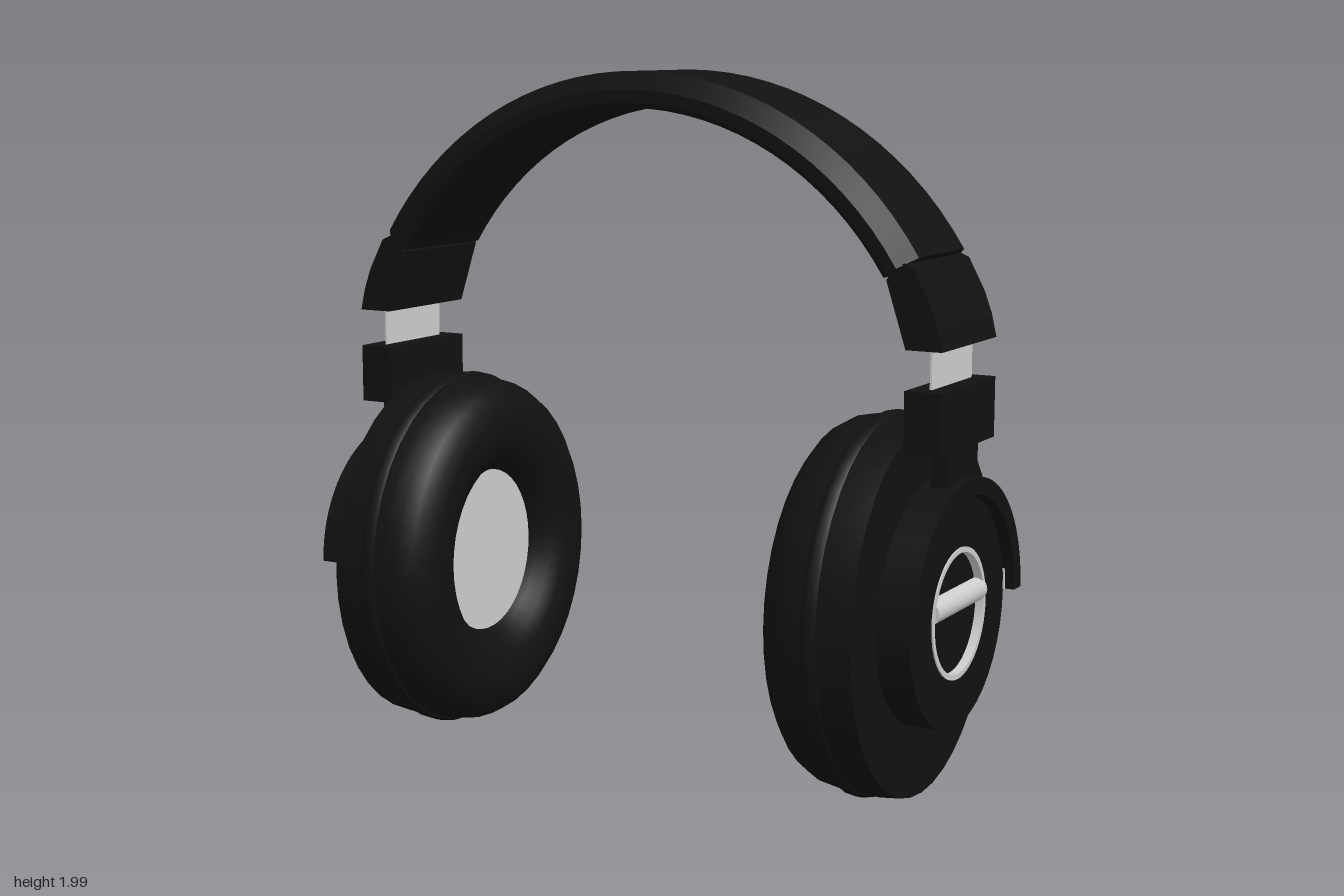
import * as THREE from 'three';
import { toCreasedNormals } from 'three/addons/utils/BufferGeometryUtils.js';

const black = new THREE.MeshStandardMaterial({ color: 0x111111 });
black.name = 'matte black';
const silver = new THREE.MeshStandardMaterial({ color: 0xcccccc });
silver.name = 'silver';

const CUP_Y = 0.55;

function add(parent, name, geometry, material, x = 0, y = 0, z = 0) {
  const mesh = new THREE.Mesh(geometry, material);
  mesh.name = name;
  mesh.position.set(x, y, z);
  parent.add(mesh);
  return mesh;
}

// Turned part around the x axis; profile is [radius, x], squash narrows it in z
function turned(profile, squash = 1, crease = 0.6) {
  const points = profile.map(([r, x]) => new THREE.Vector2(r, x));
  const geo = new THREE.LatheGeometry(points, 40);
  geo.rotateZ(-Math.PI / 2).scale(1, 1, squash);
  return toCreasedNormals(geo, crease);
}

// Chamfered cross-section swept along a circular arc, with end caps
function bandGeometry() {
  const section = [
    [0.91, -0.185], [0.925, -0.2], [0.96, -0.2], [1.01, -0.15],
    [1.01, 0.15], [0.96, 0.2], [0.925, 0.2], [0.91, 0.185],
  ];
  const n = section.length, steps = 32, centreY = 0.99;
  const start = THREE.MathUtils.degToRad(32), sweep = Math.PI - 2 * start;
  const positions = [], index = [];
  for (let i = 0; i <= steps; i++) {
    const a = start + sweep * i / steps;
    for (const [r, z] of section) positions.push(r * Math.cos(a), centreY + r * Math.sin(a), z);
  }
  for (let i = 0; i < steps; i++) {
    for (let j = 0; j < n; j++) {
      const a = i * n + j, b = i * n + (j + 1) % n;
      index.push(a, a + n, b, b, a + n, b + n);
    }
  }
  const last = steps * n;
  for (let j = 1; j < n - 1; j++) {
    index.push(0, j, j + 1, last, last + j + 1, last + j);
  }
  const geo = new THREE.BufferGeometry();
  geo.setAttribute('position', new THREE.Float32BufferAttribute(positions, 3));
  geo.setIndex(index);
  return toCreasedNormals(geo, 0.4);
}

// Sleeve that grips the end of the headband
function sleeveGeometry() {
  const outline = [
    [0.838, 1.286], [0.942, 1.286], [0.927, 1.35], [0.905, 1.41],
    [0.857, 1.5], [0.83, 1.512], [0.795, 1.49], [0.78, 1.466],
  ];
  const shape = new THREE.Shape(outline.map(([x, y]) => new THREE.Vector2(x, y)));
  return new THREE.ExtrudeGeometry(shape, { depth: 0.37, bevelEnabled: false }).translate(0, 0, -0.185);
}

// Half ring that carries the ear cup
function yokeGeometry() {
  const shape = new THREE.Shape();
  shape.absarc(0, 0, 0.375, 0, Math.PI, false);
  shape.absarc(0, 0, 0.326, Math.PI, 0, true);
  const geo = new THREE.ExtrudeGeometry(shape, { depth: 0.105, bevelEnabled: false, curveSegments: 28 });
  return toCreasedNormals(geo.rotateY(Math.PI / 2), 0.5);
}

function createSide() {
  const side = new THREE.Group();

  // Band end and slider
  add(side, 'sleeve', sleeveGeometry(), black);
  add(side, 'slider', new THREE.BoxGeometry(0.006, 0.16, 0.27), silver, 0.89, 1.235);
  add(side, 'sliderBlock', new THREE.BoxGeometry(0.105, 0.168, 0.37), black, 0.889, 1.094);
  add(side, 'neck', new THREE.BoxGeometry(0.05, 0.14, 0.2), black, 0.905, 0.96);
  add(side, 'yoke', yokeGeometry(), black, 0.852, CUP_Y);

  // Ear cup
  const cup = new THREE.Group();
  cup.name = 'earCup';
  cup.position.y = CUP_Y;
  side.add(cup);
  const squash = 0.91;
  add(cup, 'cushion', turned([
    [0.24, 0.64], [0.255, 0.6], [0.285, 0.565], [0.33, 0.542], [0.375, 0.533], [0.415, 0.535],
    [0.46, 0.548], [0.495, 0.575], [0.518, 0.615], [0.526, 0.66], [0.528, 0.7],
  ], squash, 0.9), black);
  add(cup, 'seamRing', turned([
    [0.5, 0.685], [0.532, 0.688], [0.539, 0.7], [0.539, 0.72], [0.532, 0.732], [0.5, 0.735],
  ], squash), black);
  add(cup, 'shell', turned([
    [0.528, 0.7], [0.53, 0.77], [0.523, 0.829], [0, 0.829],
  ], squash), black);
  add(cup, 'speakerCover',
    new THREE.CircleGeometry(0.262, 40).rotateY(-Math.PI / 2).scale(1, 1, squash), silver, 0.622);

  // Outer housing with a recessed centre, trim ring and bar
  add(cup, 'housing', turned([
    [0.32, 0.82], [0.32, 0.926], [0.17, 0.926], [0.17, 0.905], [0, 0.905],
  ]), black);
  add(cup, 'trimRing', turned([
    [0.183, 0.915], [0.183, 0.93], [0.168, 0.93], [0.168, 0.904],
  ]), silver);
  add(cup, 'centreBar',
    new THREE.CylinderGeometry(0.033, 0.033, 0.332, 20).rotateX(Math.PI / 2), silver, 0.908, 0.033);
  for (const s of [-1, 1]) {
    add(cup, 'pivotPin', new THREE.BoxGeometry(0.07, 0.06, 0.009), silver, 0.895, 0.03, s * 0.322);
  }
  return side;
}

export function createModel() {
  const model = new THREE.Group();
  model.name = 'headphones';
  add(model, 'headband', bandGeometry(), black);

  const left = createSide();
  left.name = 'leftSide';
  const right = createSide();
  right.name = 'rightSide';
  right.rotation.y = Math.PI;
  model.add(left, right);
  return model;
}
